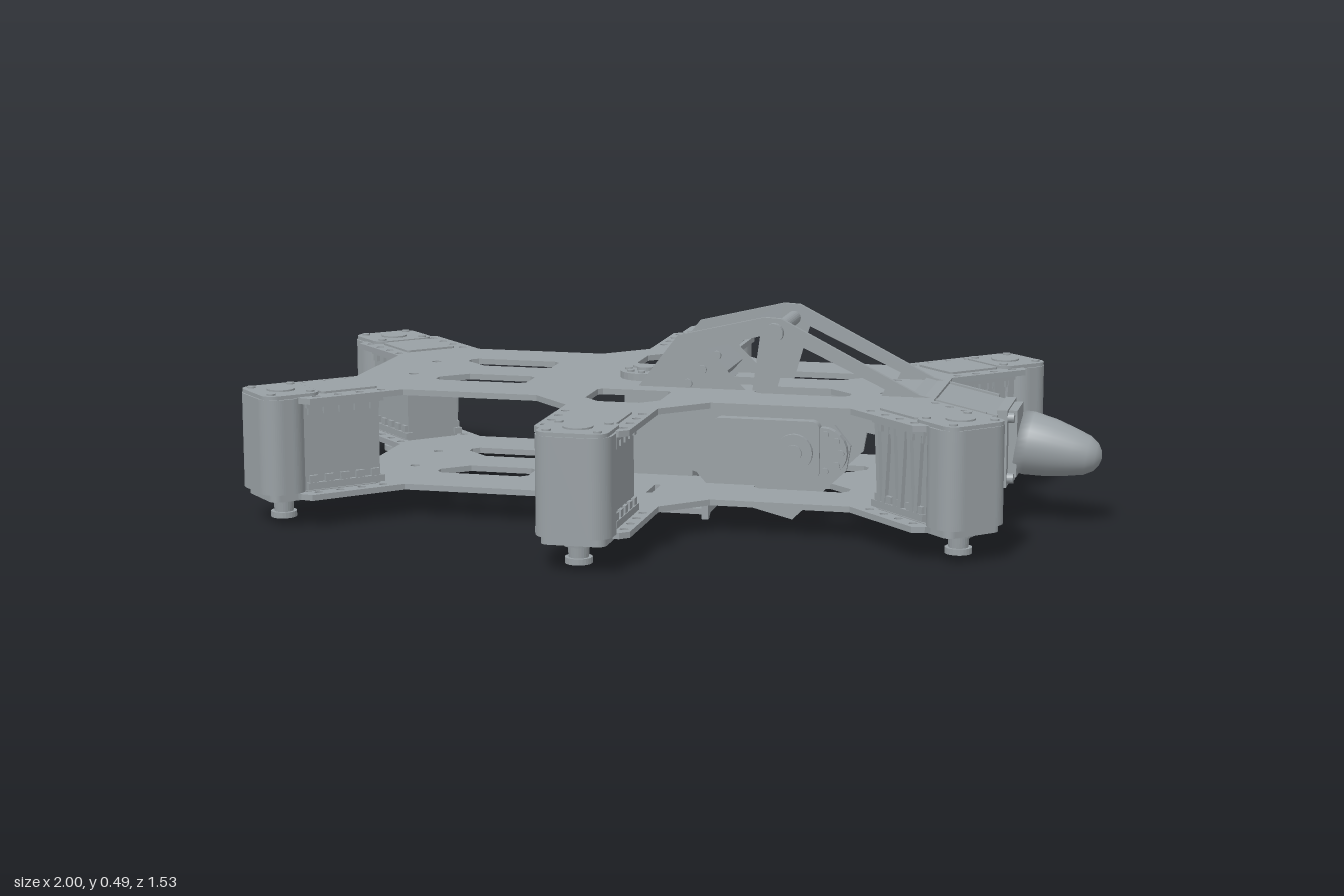
import * as THREE from 'three';

const grey = new THREE.MeshStandardMaterial({ color: 0x99a0a4, flatShading: true });
const smooth = new THREE.MeshStandardMaterial({ color: 0x99a0a4 });
const CX = -0.09; // centre of the symmetric chassis

function add(parent, name, geo, x = 0, y = 0, z = 0, mat = grey) {
  const m = new THREE.Mesh(geo, mat);
  m.name = name;
  m.position.set(x, y, z);
  parent.add(m);
  return m;
}
// box given by its minimum and maximum on each axis
const box = (p, name, x0, x1, y0, y1, z0, z1) =>
  add(p, name, new THREE.BoxGeometry(x1 - x0, y1 - y0, z1 - z0), (x0 + x1) / 2, (y0 + y1) / 2, (z0 + z1) / 2);
const cyl = (p, name, r0, r1, h, x, y, z) =>
  add(p, name, new THREE.CylinderGeometry(r0, r1, h, 24), x, y, z);
const zCyl = (p, name, r, h, x, y, z) => {
  const m = cyl(p, name, r, r, h, x, y, z);
  m.rotation.x = Math.PI / 2;
  return m;
};
const xCyl = (p, name, r, h, x, y, z) => {
  const m = cyl(p, name, r, r, h, x, y, z);
  m.rotation.z = Math.PI / 2;
  return m;
};
const poly = (pts, C = THREE.Shape) => new C(pts.map(([x, y]) => new THREE.Vector2(x, y)));
const circle = (x, y, r) => new THREE.Path().absarc(x, y, r, 0, Math.PI * 2, true);
const extrude = (shape, depth) => new THREE.ExtrudeGeometry(shape, { depth, bevelEnabled: false, curveSegments: 8 });
// flat slab from a shape drawn in x,z
const slab = (p, name, shape, y0, y1) => add(p, name, extrude(shape, y1 - y0).rotateX(Math.PI / 2), 0, y1, 0);
function roundRect(x0, x1, z0, z1, r) {
  const s = new THREE.Shape();
  s.absarc(x1 - r, z1 - r, r, 0, Math.PI / 2);
  s.absarc(x0 + r, z1 - r, r, Math.PI / 2, Math.PI);
  s.absarc(x0 + r, z0 + r, r, Math.PI, Math.PI * 1.5);
  s.absarc(x1 - r, z0 + r, r, Math.PI * 1.5, Math.PI * 2);
  return s;
}

// foot position and outward heading of the six legs
const legs = [[0, 0.69, 0], [0, -0.69, Math.PI]];
for (const a of [-1, 1]) for (const b of [-1, 1]) legs.push([a * 0.808, b * 0.405, Math.atan2(a, b)]);

function chassisPlate(parent, name, y0, y1, top) {
  const q = [[0.71, 0.154], [0.87, 0.31], [0.862, 0.345], [0.74, 0.465], [0.71, 0.47], [0.54, 0.3],
    [0.21, 0.3], [0.11, 0.4], [0.11, 0.66], [0.09, 0.68]];
  const half = q.concat(q.slice().reverse().map(([x, z]) => [-x, z]));
  const s = poly(half.concat(half.slice().reverse().map(([x, z]) => [x, -z])));
  for (const b of [-1, 1]) {
    for (const a of [-1, 1]) {
      // clipped rectangular windows and small bolt holes
      s.holes.push(poly([[0.28, 0.075], [0.295, 0.06], [0.45, 0.06], [0.51, 0.115], [0.51, 0.14], [0.495, 0.155],
        [0.295, 0.155], [0.28, 0.14]].map(([x, z]) => [x * a, z * b]), THREE.Path));
      s.holes.push(circle(0.585 * a, 0.09 * b, 0.012));
    }
    // octagonal window above, thin slot below
    s.holes.push(poly((top
      ? [[-0.09, 0.22], [-0.09, 0.19], [-0.08, 0.18], [0.08, 0.18], [0.09, 0.19], [0.09, 0.3], [0.05, 0.34], [-0.05, 0.34], [-0.09, 0.3]]
      : [[0.045, 0.17], [0.06, 0.17], [0.06, 0.26], [0.045, 0.26]]).map(([x, z]) => [x, z * b]), THREE.Path));
  }
  // opening for the head mechanism
  s.holes.push(poly([[-0.02, -0.05], [0.26, -0.05], [0.26, 0.05], [-0.02, 0.05]], THREE.Path));
  // bolt rows beside every leg
  for (const [fx, fz, t] of legs) for (const a of [-1, 1]) for (let i = 0; i < 4; i++) {
    const lx = a * 0.091, lz = -0.05 - i * 0.056;
    s.holes.push(circle(fx + lx * Math.cos(t) + lz * Math.sin(t), fz - lx * Math.sin(t) + lz * Math.cos(t), 0.01));
  }
  slab(parent, name, s, y0, y1).position.x = CX;
}

function makeLeg() {
  const g = new THREE.Group();
  slab(g, 'legHousing', roundRect(-0.088, 0.088, -0.035, 0.077, 0.045), 0.085, 0.312);
  box(g, 'legServo', -0.07, 0.07, 0.08, 0.312, -0.22, 0);
  slab(g, 'legCap', roundRect(-0.082, 0.082, -0.07, 0.073, 0.03), 0.312, 0.321);
  slab(g, 'legCover', roundRect(-0.068, 0.068, -0.22, -0.075, 0.008), 0.312, 0.319);
  slab(g, 'legBase', roundRect(-0.075, 0.075, -0.22, 0.06, 0.02), 0.066, 0.086);
  cyl(g, 'hipDisc', 0.034, 0.034, 0.006, 0, 0.322, 0);
  for (const a of [-1, 1]) {
    for (const z of [-0.05, 0.05]) cyl(g, 'capScrew', 0.01, 0.01, 0.006, a * 0.058, 0.322, z);
    // toothed mounting strips along the plate edges
    for (const [y, ty] of [[0.097, 0.112], [0.293, 0.278]]) {
      box(g, 'mountStrip', a * 0.07 - 0.01, a * 0.07 + 0.01, y - 0.008, y + 0.008, -0.228, -0.03);
      for (let i = 0; i < 5; i++)
        box(g, 'mountTooth', a * 0.068 - 0.01, a * 0.068 + 0.01, ty - 0.01, ty + 0.01, -0.217 + i * 0.04, -0.195 + i * 0.04);
    }
  }
  // slanted ribs on one flank
  for (let i = 0; i < 6; i++) {
    const rib = box(g, 'servoRib', -0.08, -0.062, 0.095, 0.3, -0.212 + i * 0.031, -0.2 + i * 0.031);
    rib.rotation.x = i % 2 ? 0.07 : -0.07;
  }
  // foot peg
  cyl(g, 'footPeg', 0.026, 0.022, 0.05, 0, 0.044, 0);
  cyl(g, 'footCollar', 0.036, 0.034, 0.014, 0, 0.062, 0);
  cyl(g, 'footPad', 0.031, 0.031, 0.014, 0, 0.022, 0);
  return g;
}

function makeHead() {
  const g = new THREE.Group();
  g.name = 'headMechanism';
  // trussed side plates
  const s = poly([[-0.1, 0.31], [0, 0.44], [0.21, 0.49], [0.25, 0.488], [0.58, 0.32], [0.74, 0.285], [0.74, 0.15],
    [0.6, 0.17], [0.48, 0.22], [0.38, 0.24], [0.42, 0.19], [0.41, 0.13], [0.28, 0.005], [0.1, 0.05], [0.01, 0.15], [-0.02, 0.25]]);
  s.holes.push(poly([[0.07, 0.41], [0.2, 0.445], [0.18, 0.3], [0.11, 0.37]], THREE.Path));
  s.holes.push(poly([[0.275, 0.435], [0.5, 0.33], [0.47, 0.27], [0.23, 0.28]], THREE.Path));
  for (const z of [-0.124, 0.112]) add(g, 'sidePlate', extrude(s, 0.012), 0, 0, z);
  zCyl(g, 'crossBar', 0.017, 0.25, 0.235, 0.455, 0);
  const servo = roundRect(0.09, 0.35, 0.11, 0.25, 0.02);
  for (const a of [-1, 1]) {
    zCyl(g, 'crossBarNut', 0.023, 0.02, 0.235, 0.455, a * 0.13);
    // flank servos with their horns
    add(g, 'flankServo', extrude(servo, 0.03), 0, 0, a * 0.137 - 0.015);
    zCyl(g, 'servoHorn', 0.06, 0.03, 0.355, 0.175, a * 0.13);
    zCyl(g, 'servoHub', 0.045, 0.016, 0.29, 0.175, a * 0.156);
    zCyl(g, 'servoHubPin', 0.02, 0.02, 0.29, 0.175, a * 0.16);
    for (let i = -2; i <= 2; i++)
      zCyl(g, 'hornScrew', 0.009, 0.014, 0.355 + 0.045 * Math.cos(i * 0.7), 0.175 + 0.045 * Math.sin(i * 0.7), a * 0.145);
    for (let i = 0; i < 4; i++) zCyl(g, 'plateScrew', 0.011, 0.01, -0.01 + i * 0.035, 0.29 + i * 0.035, a * 0.126);
  }
  // tilted inner servos
  const upper = new THREE.Group();
  upper.name = 'tiltedServo';
  upper.position.set(0.025, 0.32, 0);
  upper.rotation.z = 0.85;
  box(upper, 'servoCase', -0.085, 0.085, -0.045, 0.045, -0.09, 0.09);
  box(upper, 'servoFlange', 0.03, 0.045, -0.06, 0.06, -0.1, 0.1);
  for (let i = -3; i <= 3; i++) box(upper, 'servoFin', -0.08, 0.03, 0.04, 0.052, i * 0.028 - 0.007, i * 0.028 + 0.007);
  g.add(upper);
  const lower = new THREE.Group();
  lower.name = 'lowerServo';
  lower.position.set(0.2, 0.13, 0);
  lower.rotation.z = -0.3;
  box(lower, 'servoCase', -0.13, 0.13, -0.06, 0.07, -0.09, 0.09);
  box(lower, 'servoFlange', -0.16, -0.13, -0.07, 0.08, -0.105, 0.105);
  for (const z of [-0.07, 0, 0.07]) box(lower, 'servoRidge', -0.12, 0.12, -0.072, -0.06, z - 0.012, z + 0.012);
  g.add(lower);
  // turning servo and round horn
  box(g, 'yawServo', -0.15, 0.02, 0.035, 0.305, -0.055, 0.055);
  cyl(g, 'yawHorn', 0.062, 0.062, 0.026, -0.11, 0.318, 0);
  cyl(g, 'yawHub', 0.022, 0.022, 0.012, -0.11, 0.334, 0);
  for (let i = 0; i < 8; i++)
    cyl(g, 'yawScrew', 0.009, 0.009, 0.008, -0.11 + 0.043 * Math.cos(i * Math.PI / 4), 0.332, 0.043 * Math.sin(i * Math.PI / 4));
  // slotted tray below the chassis with a flared front lip
  const tray = poly([[-0.17, -0.09], [-0.13, -0.15], [0.08, -0.15], [0.08, 0.15], [-0.13, 0.15], [-0.17, 0.09]]);
  for (const z of [-0.1, -0.035, 0.035, 0.1])
    tray.holes.push(poly([[-0.1, z - 0.016], [0.04, z - 0.016], [0.04, z + 0.016], [-0.1, z + 0.016]], THREE.Path));
  slab(g, 'tray', tray, 0.012, 0.026);
  box(g, 'trayBlock', -0.13, 0.06, 0.038, 0.07, -0.11, 0.11);
  const lip = poly([[-0.158, 0.002], [-0.145, 0.002], [-0.13, 0.014], [0.13, 0.014], [0.145, 0.002], [0.158, 0.002],
    [0.158, 0.065], [0.13, 0.074], [-0.13, 0.074], [-0.158, 0.065]]);
  add(g, 'trayLip', extrude(lip, 0.016).rotateY(Math.PI / 2), 0.066, 0, 0);
  for (let i = -2; i <= 2; i++) xCyl(g, 'trayBolt', 0.014, 0.02, 0.08, 0.046, i * 0.05);
  // neck block with sloping roof
  box(g, 'neck', 0.55, 0.76, 0.1, 0.275, -0.095, 0.095);
  box(g, 'neckRoof', 0.56, 0.765, 0.288, 0.298, -0.108, 0.108).rotation.z = -0.22;
  box(g, 'neckCollar', 0.76, 0.785, 0.1, 0.285, -0.09, 0.09);
  box(g, 'neckFlange', 0.785, 0.805, 0.12, 0.28, -0.06, 0.06);
  for (const a of [-1, 1]) for (const y of [0.12, 0.265]) xCyl(g, 'collarScrew', 0.012, 0.02, 0.79, y, a * 0.072);
  // tapered nose
  const profile = [[0, 0], [0.074, 0], [0.076, 0.025], [0.069, 0.08], [0.057, 0.13], [0.047, 0.165], [0.034, 0.185], [0.018, 0.196], [0, 0.2]];
  const nose = add(g, 'nose', new THREE.LatheGeometry(profile.map(([r, y]) => new THREE.Vector2(r, y)), 32), 0.803, 0.197, 0, smooth);
  nose.rotation.z = -Math.PI / 2 - 0.17;
  return g;
}

export function createModel() {
  const root = new THREE.Group();
  root.name = 'sixLeggedRobotChassis';
  chassisPlate(root, 'topPlate', 0.3, 0.314, true);
  chassisPlate(root, 'bottomPlate', 0.07, 0.084, false);
  legs.forEach(([x, z, t]) => {
    const leg = makeLeg();
    leg.name = 'leg';
    leg.position.set(x + CX, 0, z);
    leg.rotation.y = t;
    root.add(leg);
  });
  root.add(makeHead());
  return root;
}
